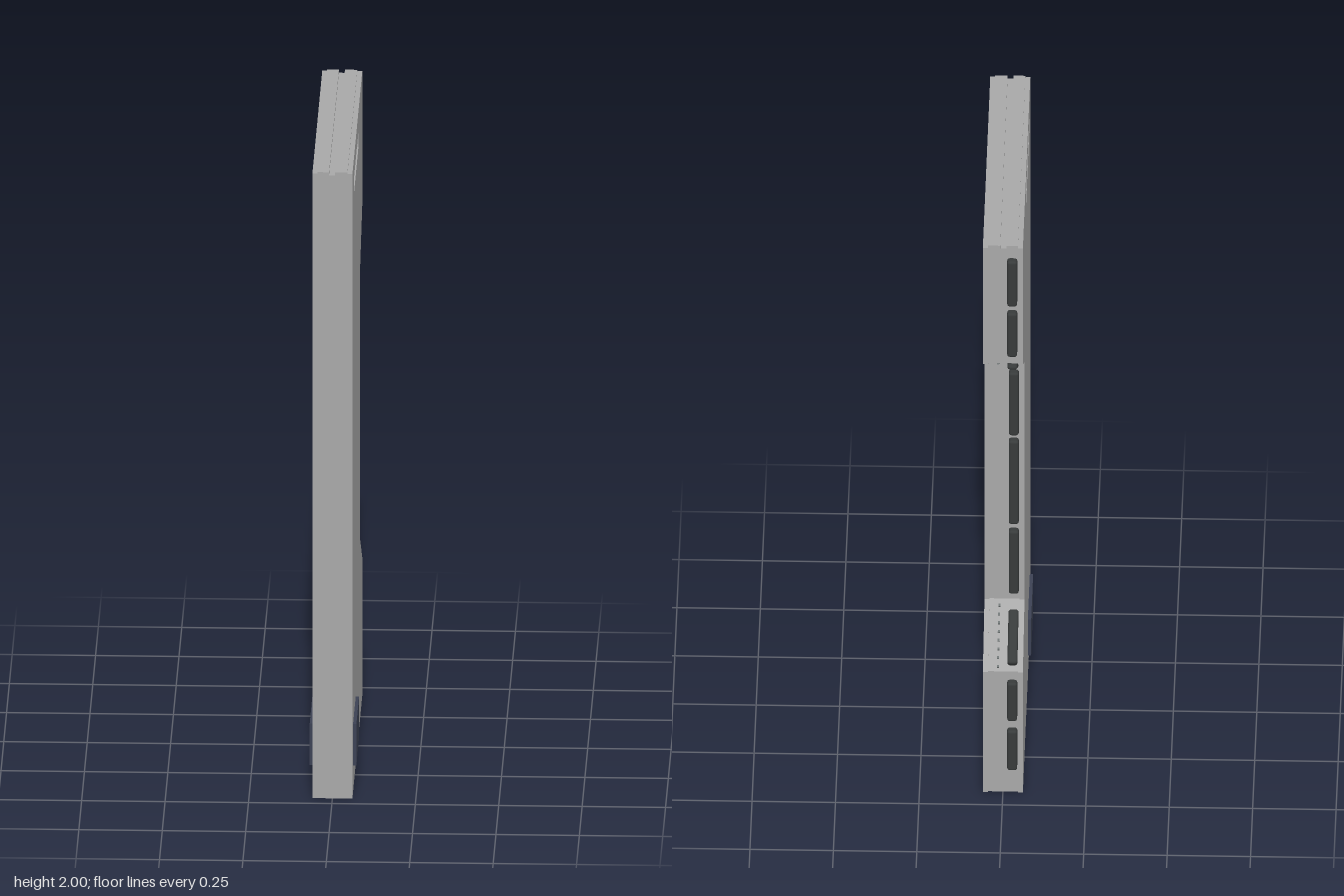
import * as THREE from 'three';
import { RoundedBoxGeometry } from 'three/addons/geometries/RoundedBoxGeometry.js';

const mat = (name, color) => Object.assign(new THREE.MeshStandardMaterial({ color }), { name });

export function createModel() {
  const grey = mat('casing grey', 0xa8a8a8);
  const rimGrey = mat('rim grey', 0x707676);
  const teal = mat('teal light', 0x7cc4c4);
  const navy = mat('dark navy', 0x3c4254);
  const dark = mat('dark strip', 0x383b3b);
  const group = new THREE.Group();

  const add = (name, geometry, material, x = 0, y = 0, z = 0) => {
    const mesh = new THREE.Mesh(geometry, material);
    mesh.name = name;
    mesh.position.set(x, y, z);
    group.add(mesh);
    return mesh;
  };

  const rect = (target, z0, z1, y0, y1) => {
    target.moveTo(-z0, y0).lineTo(-z0, y1).lineTo(-z1, y1).lineTo(-z1, y0).closePath();
    return target;
  };

  // side outline with the notched back; inset pulls the back edge in
  const outline = (top, inset) => {
    const s = new THREE.Shape();
    const back = 0.435 - inset, waist = 0.24 - inset;
    [[-0.455, 0], [back, 0], [back, 0.44], [waist, 0.57], [waist, 1.44],
      [back, 1.57], [back, top], [-0.455, top]]
      .forEach(([u, v], i) => (i ? s.lineTo(u, v) : s.moveTo(u, v)));
    s.closePath();
    return s;
  };
  const layer = (name, shape, x0, x1, material = grey) => {
    const g = new THREE.ExtrudeGeometry(shape, { depth: x1 - x0, bevelEnabled: false });
    g.rotateY(Math.PI / 2);
    return add(name, g, material, x0);
  };

  // layered casing: ridged core with a centre groove, between two side panels
  layer('coreRight', outline(2, 0.005), 0.008, 0.045);
  layer('coreGroove', outline(1.99, 0.005), -0.01, 0.008);
  layer('coreLeft', outline(2, 0.005), -0.045, -0.01);
  for (const side of [-1, 1]) {
    const panel = outline(1.995, 0);
    panel.holes.push(rect(new THREE.Path(), -0.09, 0.33, 1.88, 1.93));
    layer('sidePanel', panel, side > 0 ? 0.045 : -0.06, side > 0 ? 0.06 : -0.045);

    // base plates on both sides
    add('basePlate', new THREE.BoxGeometry(0.01, 0.132, 0.237), navy, side * 0.065, 0.15, 0.278);
  }

  // lit slot with its rim
  add('slotRim', new THREE.BoxGeometry(0.006, 0.05, 0.42), rimGrey, 0.047, 1.905, 0.12);
  add('slotLight', new THREE.BoxGeometry(0.006, 0.034, 0.404), teal, 0.05, 1.905, 0.12);

  // rounded contact strips along the back edge, from (z, y) to (z, y)
  const strips = [
    [-0.435, 1.79, -0.435, 1.955], [-0.435, 1.605, -0.435, 1.765],
    [-0.27, 1.46, -0.415, 1.557],
    [-0.24, 1.18, -0.24, 1.41], [-0.24, 0.855, -0.24, 1.16], [-0.24, 0.6, -0.24, 0.83],
    [-0.415, 0.453, -0.27, 0.55],
    [-0.435, 0.27, -0.435, 0.41], [-0.435, 0.09, -0.435, 0.235],
  ];
  for (const [z0, y0, z1, y1] of strips) {
    const length = Math.hypot(z1 - z0, y1 - y0);
    const strip = add('contactStrip', new RoundedBoxGeometry(0.03, length, 0.034, 2, 0.008),
      dark, -0.028, (y0 + y1) / 2, (z0 + z1) / 2);
    strip.rotation.x = Math.atan2(z1 - z0, y1 - y0);
  }

  // rows of small pins on both slanted faces
  for (const [ya, yb] of [[0.558, 0.449], [1.452, 1.561]]) {
    for (let i = 0; i < 8; i++) {
      const t = i / 7;
      const pin = add('pin', new THREE.BoxGeometry(0.006, 0.008, 0.008), rimGrey,
        0.015, ya + (yb - ya) * t, -0.255 - 0.163 * t);
      pin.rotation.x = Math.atan2(-0.195, yb - ya);
    }
  }
  return group;
}
